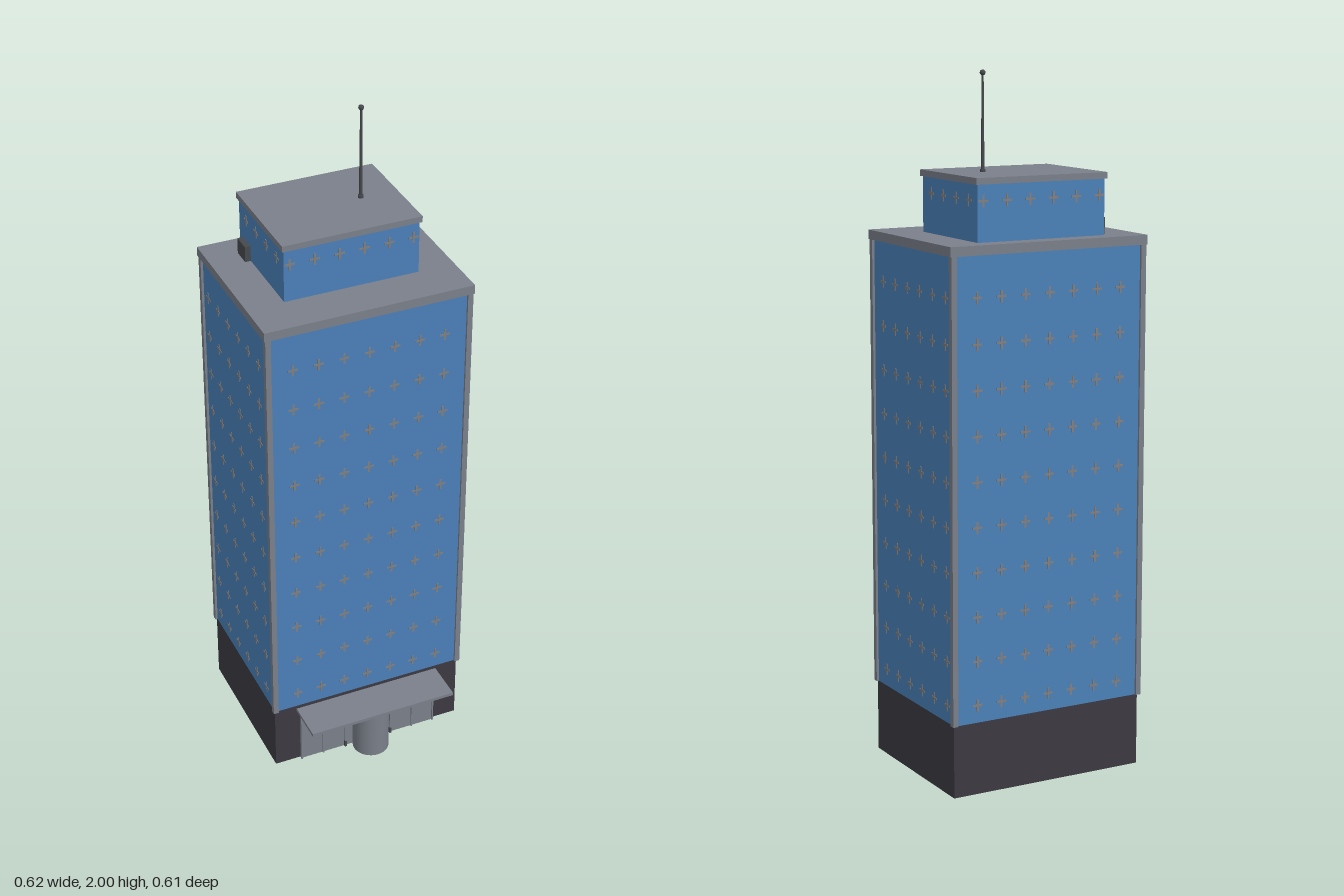
import * as THREE from 'three';

const mat = (name, color, side = THREE.FrontSide) => {
  const m = new THREE.MeshStandardMaterial({ color, side });
  m.name = name;
  return m;
};

export function createModel() {
  const glass = mat('blue glass', 0x4a80b8);
  const concrete = mat('grey concrete', 0x7a808a);
  const plinth = mat('dark plinth', 0x3c3a41);
  const metal = mat('dark metal', 0x46494d);
  const frame = mat('window frame', 0x827f7e);

  const model = new THREE.Group();
  model.name = 'officeTower';
  const CZ = -0.0575; // tower centre in depth

  const add = (name, geo, material, x, y, z, parent = model) => {
    const m = new THREE.Mesh(geo, material);
    m.name = name;
    m.position.set(x, y, z);
    parent.add(m);
    return m;
  };
  // Box given by its extents along each axis
  const box = (name, material, x0, x1, y0, y1, z0, z1, parent = model) =>
    add(name, new THREE.BoxGeometry(x1 - x0, y1 - y0, z1 - z0), material,
      (x0 + x1) / 2, (y0 + y1) / 2, (z0 + z1) / 2, parent);

  // Main volumes
  box('base', plinth, -0.3, 0.3, 0, 0.21, CZ - 0.24, CZ + 0.24);
  box('glassBody', glass, -0.3, 0.3, 0.21, 1.52, CZ - 0.242, CZ + 0.242);
  box('roofSlab', concrete, -0.31, 0.31, 1.518, 1.545, CZ - 0.25, CZ + 0.25);
  box('penthouse', glass, -0.2, 0.2, 1.545, 1.702, -0.255, 0.065);
  box('penthouseRoof', concrete, -0.206, 0.206, 1.702, 1.72, -0.261, 0.071);

  // Corner posts
  for (const sx of [-1, 1]) for (const sz of [-1, 1]) {
    add('cornerPost', new THREE.BoxGeometry(0.016, 1.31, 0.016), concrete,
      sx * 0.299, 0.865, CZ + sz * 0.241);
  }

  // Cross-shaped window frames, one facade per group
  const barH = new THREE.BoxGeometry(0.03, 0.006, 0.003);
  const barV = new THREE.BoxGeometry(0.006, 0.034, 0.003);
  const facade = (name, angle, dist, cz, cols, step, rows, y0) => {
    const g = new THREE.Group();
    g.name = name;
    g.position.z = cz;
    g.rotation.y = angle;
    for (let r = 0; r < rows; r++) for (let c = 0; c < cols; c++) {
      const x = (c - (cols - 1) / 2) * step, y = y0 + r * 0.127;
      add('windowBar', barH, frame, x, y, dist, g);
      add('windowPost', barV, frame, x, y, dist, g);
    }
    model.add(g);
  };
  for (let i = 0; i < 4; i++) {
    const side = i % 2 === 1, a = i * Math.PI / 2;
    facade('towerWindows', a, side ? 0.3 : 0.242, side ? -0.068 : CZ, side ? 6 : 7, 0.0755, 10, 0.26);
    facade('penthouseWindows', a, side ? 0.2 : 0.16, -0.095, side ? 4 : 6, 0.073, 1, 1.657);
  }

  // Rooftop service box and antenna
  box('serviceBox', metal, -0.217, -0.2, 1.545, 1.592, -0.231, -0.175);
  add('antennaFoot', new THREE.CylinderGeometry(0.008, 0.008, 0.008, 12), metal, 0.096, 1.724, -0.094);
  add('antennaMast', new THREE.CylinderGeometry(0.003, 0.005, 0.27, 10), metal, 0.096, 1.857, -0.094);
  add('antennaTip', new THREE.SphereGeometry(0.008, 12, 8), metal, 0.096, 1.992, -0.094);

  // Entrance: front wall, canopy and revolving door
  box('entranceWall', concrete, -0.22, 0.22, 0, 0.185, 0.18, 0.19);
  box('canopy', concrete, -0.23, 0.23, 0.187, 0.197, 0.18, 0.306);
  add('revolvingDoor', new THREE.CylinderGeometry(0.055, 0.055, 0.172, 32), concrete, 0, 0.086, 0.214);
  add('revolvingDoorCap', new THREE.CylinderGeometry(0.045, 0.045, 0.008, 32), metal, 0, 0.176, 0.214);
  for (const s of [-1, 1]) {
    for (const x of [0.075, 0.148, 0.219])
      box('entranceMullion', concrete, s * x - 0.002, s * x + 0.002, 0, 0.185, 0.188, 0.195);
    box('doorStop', metal, s * 0.075 - 0.003, s * 0.075 + 0.003, 0, 0.02, 0.19, 0.197);
  }
  return model;
}
